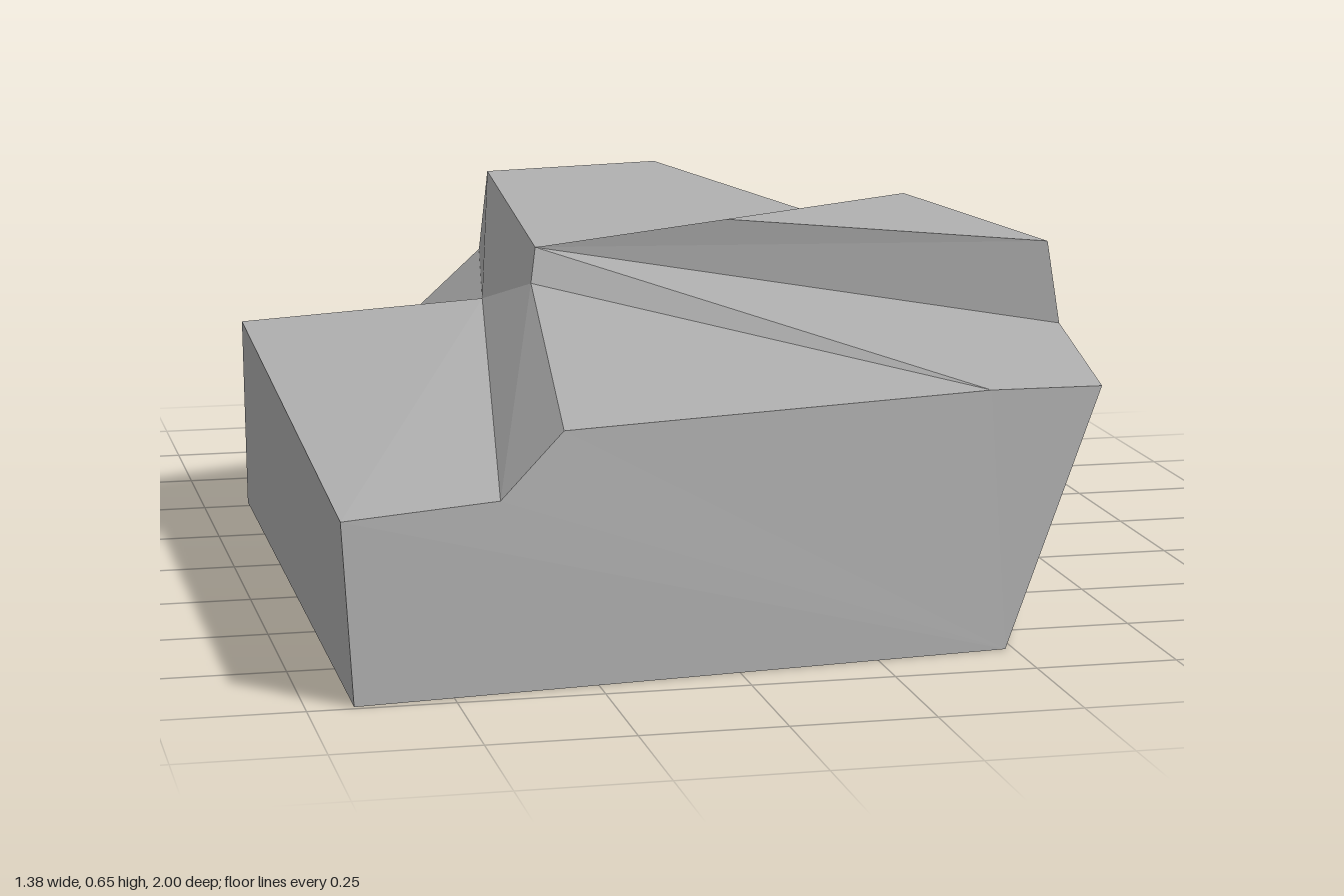
import * as THREE from 'three';

// Corners of the boulder, by area
const corners = {
  // ground outline
  footFL: [-0.67, 0, 0.99], footFR: [0.485, 0, 0.87], footR: [0.655, 0, 0.41],
  footRB: [0.48, 0, -0.34], footBR: [0.33, 0, -0.98], footBL: [-0.61, 0, -0.88], footL: [-0.66, 0, -0.53],
  // low ledge on the right-hand side
  ledgeF: [-0.69, 0.315, 1], ledgeIn: [-0.42, 0.33, 0.97], ledgeB: [-0.665, 0.37, -0.53],
  ledgeEnd: [-0.2, 0.42, -0.41], notch: [-0.11, 0.43, -0.945],
  // front slope
  slopeFL: [-0.31, 0.44, 0.955], slopeMid: [0.45, 0.46, 0.875], slopeFR: [0.655, 0.455, 0.855],
  slopeTop: [-0.165, 0.505, -0.08], slopeR: [0.685, 0.505, 0.53],
  // raised cap and back shelf
  hub: [-0.14, 0.56, -0.165], capIn: [0.18, 0.64, 0.07], capF: [0.68, 0.645, 0.47], capB: [0.57, 0.655, -0.08],
  shelfF: [0.495, 0.575, -0.23], shelfBR: [0.28, 0.6, -0.99], shelfBL: [-0.09, 0.595, -0.95],
  // side bulge
  bulge: [0.428, 0.3, -0.46], bulgeB: [0.36, 0.3, -1],
};

// Facets of each part: corner loops, counter-clockwise from outside
const parts = {
  frontFace: ['footFR slopeFR slopeMid slopeFL ledgeIn ledgeF footFL'],
  backFace: ['footBR footBL notch shelfBL shelfBR bulgeB'],
  leftSide: [
    'footFR footR slopeFR', 'footR slopeR slopeFR', 'footR capF slopeR',
    'footR bulge shelfF capB capF', 'footR footRB bulge', 'footRB bulgeB bulge',
    'footRB footBR bulgeB', 'bulge bulgeB shelfBR', 'bulge shelfBR shelfF',
  ],
  rightSide: ['footL footFL ledgeF ledgeB', 'footBL footL ledgeB'],
  ledge: ['ledgeF ledgeIn ledgeEnd ledgeB', 'ledgeB ledgeEnd footBL', 'footBL ledgeEnd notch'],
  ledgeWall: [
    'ledgeIn slopeFL slopeTop ledgeEnd', 'slopeTop hub ledgeEnd',
    'ledgeEnd hub shelfBL', 'ledgeEnd shelfBL notch',
  ],
  frontSlope: ['slopeFL slopeMid slopeTop', 'slopeTop slopeMid hub', 'hub slopeMid slopeFR slopeR'],
  raisedCap: ['hub slopeR capF capIn', 'capIn capF capB', 'capIn capB shelfF hub'],
  backShelf: ['hub shelfF shelfBR shelfBL'],
  underside: ['footFL footL footBL footBR footRB footR footFR'],
};

// Fan each loop into unshared triangles for hard edges
function facetGeometry(loops) {
  const positions = [];
  for (const loop of loops) {
    const points = loop.split(' ').map((name) => corners[name]);
    for (let i = 1; i < points.length - 1; i++) {
      positions.push(...points[0], ...points[i], ...points[i + 1]);
    }
  }
  const geometry = new THREE.BufferGeometry();
  geometry.setAttribute('position', new THREE.Float32BufferAttribute(positions, 3));
  geometry.computeVertexNormals();
  return geometry;
}

export function createModel() {
  const stone = new THREE.MeshStandardMaterial({ color: 0xb0b0b0 });
  stone.name = 'greyStone';
  const boulder = new THREE.Group();
  boulder.name = 'boulder';
  for (const [name, loops] of Object.entries(parts)) {
    const mesh = new THREE.Mesh(facetGeometry(loops), stone);
    mesh.name = name;
    boulder.add(mesh);
  }
  return boulder;
}
